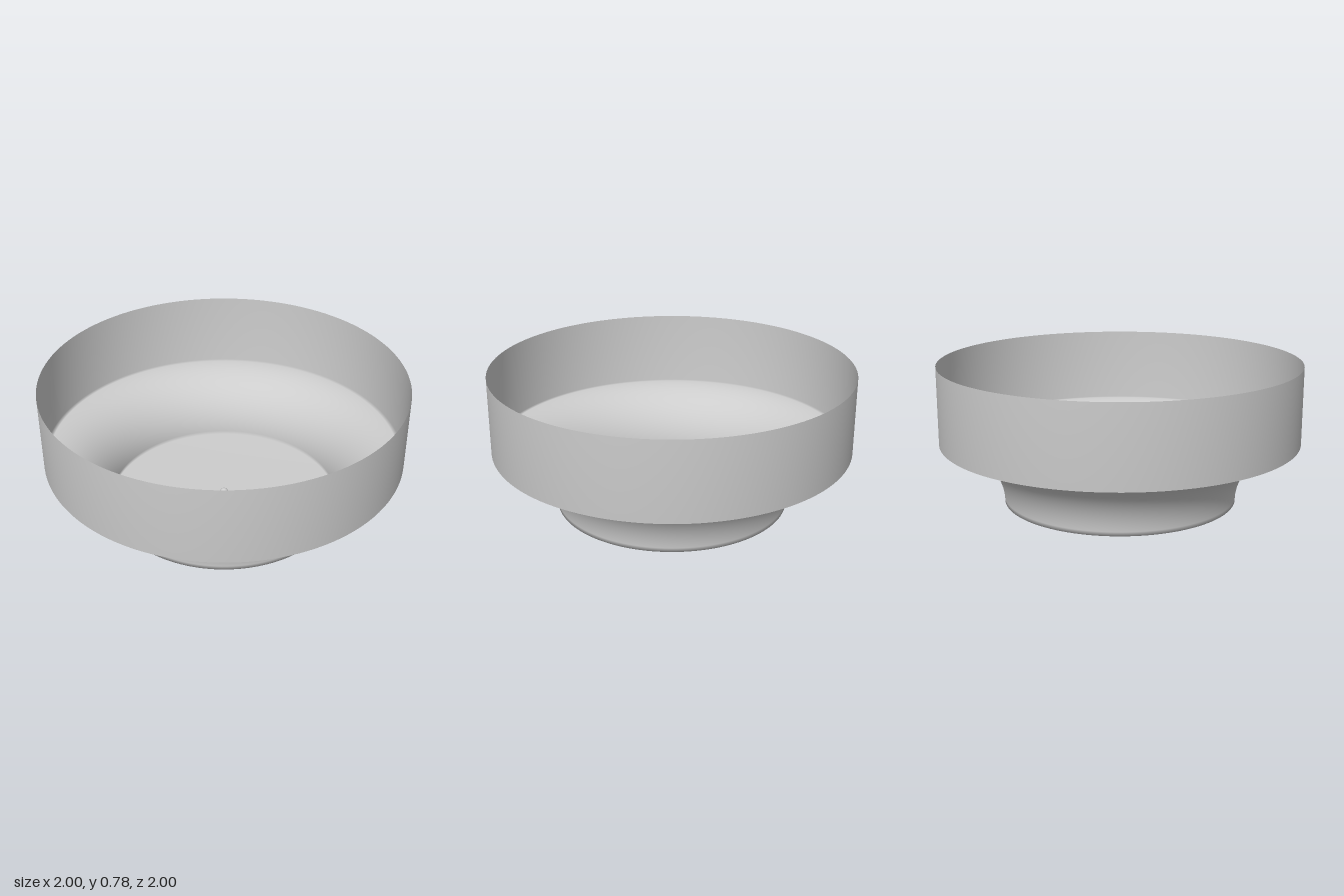
import * as THREE from 'three';

export function createModel() {
  const model = new THREE.Group();
  model.name = 'footedBowl';

  const grey = new THREE.MeshStandardMaterial({ color: 0xcccccc, side: THREE.DoubleSide });
  grey.name = 'pale grey';

  // Thin shell profile: flat base, concave quarter-round foot, upright wall
  const flare = 0.35;
  const arcSteps = 24;
  const profile = [new THREE.Vector2(0, 0)];
  for (let i = 0; i <= arcSteps; i++) {
    const a = (i / arcSteps) * Math.PI / 2;
    profile.push(new THREE.Vector2(1 - flare * Math.cos(a), flare * Math.sin(a)));
  }
  profile.push(new THREE.Vector2(1, 0.78));

  const bowl = new THREE.Mesh(new THREE.LatheGeometry(profile, 128), grey);
  bowl.name = 'bowlShell';
  model.add(bowl);

  // Small bead in the middle of the floor
  const bead = new THREE.Mesh(new THREE.SphereGeometry(0.024, 24, 16), grey);
  bead.name = 'centreBead';
  bead.position.y = 0.026;
  model.add(bead);

  return model;
}
